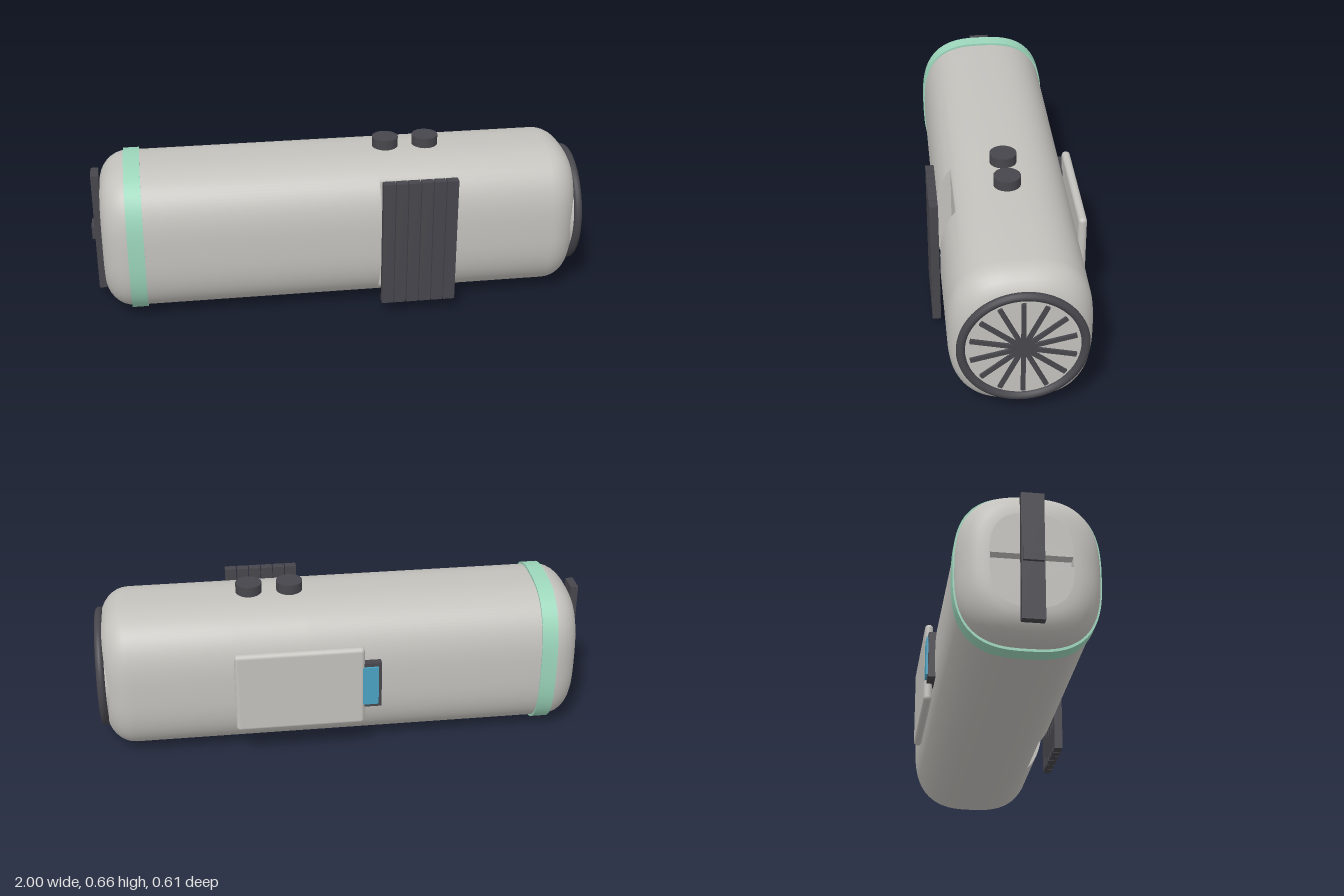
import * as THREE from 'three';
import { toCreasedNormals } from 'three/addons/utils/BufferGeometryUtils.js';
import { RoundedBoxGeometry } from 'three/addons/geometries/RoundedBoxGeometry.js';

const CY = 0.314; // height of the body's long axis
const SEG = 96;

const material = (name, color) => {
  const m = new THREE.MeshStandardMaterial({ color });
  m.name = name;
  return m;
};

// Point on the rounded-square cross-section: [z, y] about the axis
function sectionPoint(j, d, h) {
  const a = (j / SEG) * Math.PI * 2;
  const c = Math.cos(a), s = Math.sin(a), p = 2 / 2.8;
  return [d * Math.sign(c) * Math.abs(c) ** p, h * Math.sign(s) * Math.abs(s) ** p];
}

// Skin a row of cross-sections { x, d, h, flat } along x; flat limits z
function loft(rings) {
  const pos = [], index = [];
  for (const { x, d, h, flat = 9 } of rings) {
    for (let j = 0; j < SEG; j++) {
      const [z, y] = sectionPoint(j, d, h);
      pos.push(x, CY + y, Math.min(z, flat));
    }
  }
  for (let i = 0; i < rings.length - 1; i++) {
    for (let j = 0; j < SEG; j++) {
      const a = i * SEG + j, b = i * SEG + ((j + 1) % SEG);
      index.push(a, a + SEG, b, b, a + SEG, b + SEG);
    }
  }
  const g = new THREE.BufferGeometry();
  g.setAttribute('position', new THREE.Float32BufferAttribute(pos, 3));
  g.setIndex(index);
  return toCreasedNormals(g, 0.6);
}

export function createModel() {
  const shell = material('warm grey shell', 0xc4c2bd);
  const dark = material('charcoal', 0x46464c);
  const green = material('mint band', 0x9cd6bb);
  const blue = material('blue screen', 0x4aa3c4);

  const model = new THREE.Group();
  const add = (name, geometry, mat, x = 0, y = 0, z = 0) => {
    const mesh = new THREE.Mesh(geometry, mat);
    mesh.name = name;
    mesh.position.set(x, y, z);
    model.add(mesh);
    return mesh;
  };
  const box = (name, mat, sx, sy, sz, x, y, z) =>
    add(name, new THREE.BoxGeometry(sx, sy, sz), mat, x, y, z);

  // Body with rounded ends and a flat recess behind the slats
  const D = 0.268, H = 0.305, R = 0.115, X0 = -0.957, X1 = 0.978;
  const STEPS = 8, left = [], right = [];
  for (let i = 0; i <= STEPS; i++) {
    const t = (i / STEPS) * Math.PI / 2;
    const inset = R * (1 - Math.cos(t)), along = R * (1 - Math.sin(t));
    left.unshift({ x: X0 + along, d: D - inset, h: H - inset });
    right.push({ x: X1 - along, d: D - inset, h: H - inset });
  }
  const recess = [[0.155, 9], [0.155, 0.205], [0.457, 0.205], [0.457, 9]]
    .map(([x, flat]) => ({ x, d: D, h: H, flat }));
  add('body', loft([...left, ...recess, ...right, { x: X1, d: 0, h: 0 }]), shell);

  // Left end plate with a horizontal slot
  const outline = Array.from({ length: SEG }, (_, j) =>
    new THREE.Vector2(...sectionPoint(j, D - R, H - R)));
  const plate = new THREE.Shape(outline);
  const sw = 0.15, sh = 0.02;
  plate.holes.push(new THREE.Path([[-sw, -sh], [-sw, sh], [sw, sh], [sw, -sh]]
    .map(([a, b]) => new THREE.Vector2(a, b))));
  const plateGeo = new THREE.ExtrudeGeometry(plate, { depth: 0.04, bevelEnabled: false });
  plateGeo.rotateY(-Math.PI / 2);
  add('endPlate', plateGeo, shell, X0 + 0.04, CY, 0);
  box('slotBack', shell, 0.01, 0.06, 0.32, X0 + 0.045, CY, 0);

  // Upright handle on the left end
  box('endHandle', dark, 0.031, 0.51, 0.085, -0.9725, 0.317, 0);
  box('handleKnob', dark, 0.014, 0.055, 0.075, -0.993, 0.317, 0);

  // Coloured band around the body
  const band = { d: 0.273, h: 0.314 };
  add('band', loft([
    { x: -0.855, d: 0.25, h: 0.29 }, { x: -0.855, ...band },
    { x: -0.79, ...band }, { x: -0.79, d: 0.25, h: 0.29 },
  ]), green);

  // Round grille on the right end
  const disc = new THREE.CylinderGeometry(0.222, 0.222, 0.03, 64).rotateZ(Math.PI / 2);
  add('grilleDisc', disc, shell, 0.968, CY, 0);
  const ring = new THREE.TorusGeometry(0.227, 0.0165, 12, 72).rotateY(Math.PI / 2);
  add('grilleRing', ring, dark, 0.9835, CY, 0);
  for (let i = 0; i < 7; i++) {
    const spoke = box('grilleSpoke', dark, 0.014, 0.396, 0.017, 0.986, CY, 0);
    spoke.rotation.x = (i * Math.PI) / 7;
  }
  add('grilleHub', new THREE.CylinderGeometry(0.042, 0.042, 0.014, 28).rotateZ(Math.PI / 2),
    dark, 0.986, CY, 0);

  // Two caps on top
  for (const x of [0.21, 0.375]) {
    add('topCap', new THREE.CylinderGeometry(0.053, 0.053, 0.05, 40), dark, x, 0.634, 0);
  }

  // Slatted shutter on the front
  for (let i = 0; i < 6; i++) {
    box('shutterSlat', dark, 0.047, 0.535, 0.034, 0.18 + i * 0.0508, 0.316, 0.288);
  }

  // Rear door with a small control box and screen
  add('rearDoor', new RoundedBoxGeometry(0.518, 0.347, 0.034, 4, 0.0165), shell,
    0.198, 0.3165, -0.288);
  box('controlBox', dark, 0.12, 0.2, 0.032, -0.07, 0.3165, -0.279);
  box('controlScreen', blue, 0.066, 0.17, 0.009, -0.084, 0.3165, -0.2985);

  return model;
}
